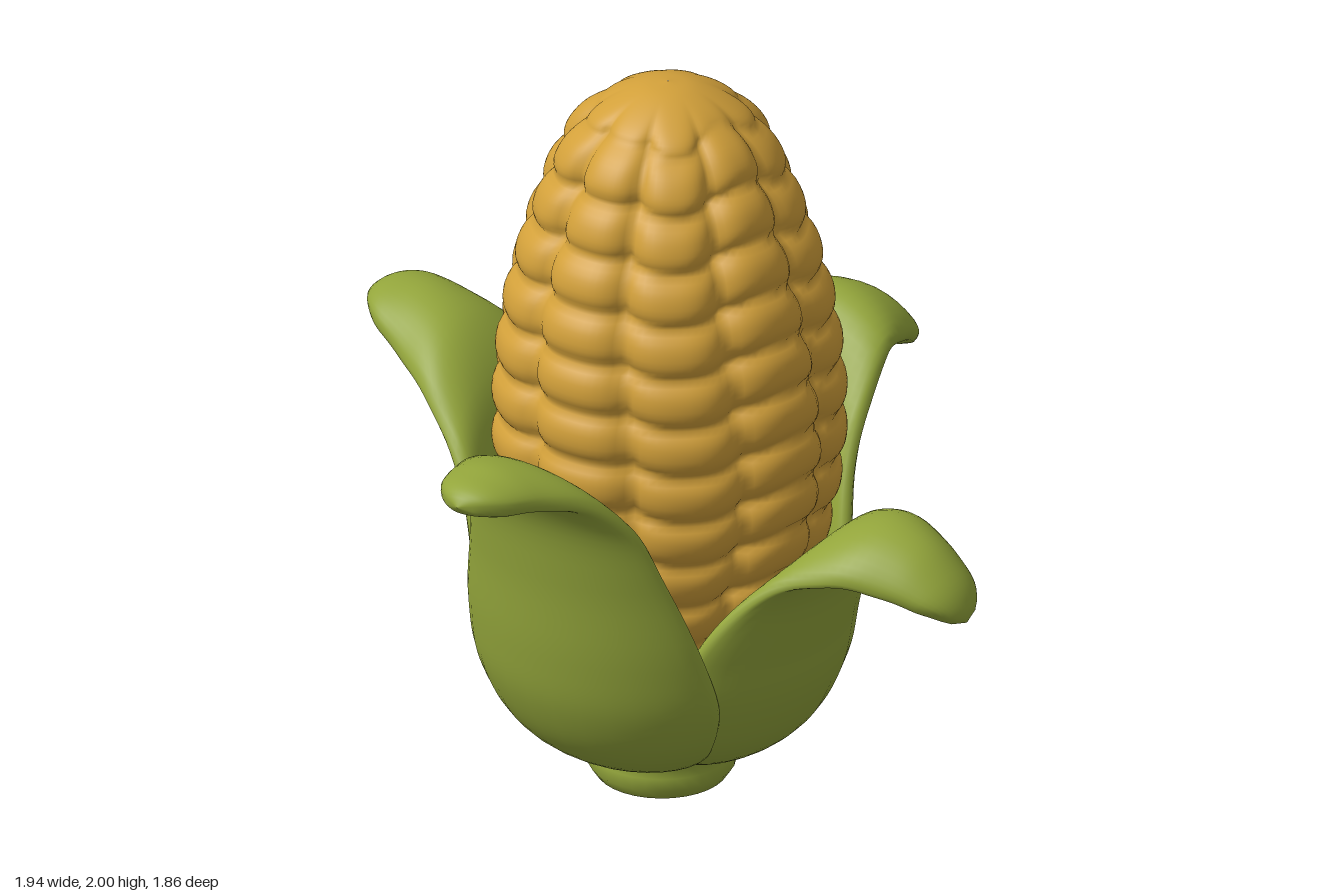
import * as THREE from 'three';

const kernelYellow = new THREE.MeshStandardMaterial({ color: 0xd2a03a });
kernelYellow.name = 'kernel yellow';
const huskGreen = new THREE.MeshStandardMaterial({ color: 0x93a53b });
huskGreen.name = 'husk green';

// Smooth tube-like surface: rows of points, each row a closed loop.
function loft(rows, sides, pointAt) {
  const pos = [], index = [];
  for (let i = 0; i <= rows; i++)
    for (let j = 0; j < sides; j++) pos.push(...pointAt(i / rows, (j / sides) * Math.PI * 2));
  for (let i = 0; i < rows; i++)
    for (let j = 0; j < sides; j++) {
      const a = i * sides + j, b = i * sides + ((j + 1) % sides);
      index.push(a, b, b + sides, a, b + sides, a + sides);
    }
  const g = new THREE.BufferGeometry();
  g.setAttribute('position', new THREE.Float32BufferAttribute(pos, 3));
  g.setIndex(index);
  g.computeVertexNormals();
  return g;
}

function part(name, geometry, material) {
  const mesh = new THREE.Mesh(geometry, material);
  mesh.name = name;
  return mesh;
}

// Ear: a rounded profile dented by grooves between rows and columns of kernels.
function earGeometry() {
  const profile = new THREE.CatmullRomCurve3([
    [0.22, 0.25], [0.33, 0.45], [0.41, 0.68], [0.455, 0.9], [0.465, 1.1], [0.44, 1.36], [0.395, 1.55],
    [0.35, 1.68], [0.3, 1.8], [0.24, 1.89], [0.16, 1.95], [0.07, 1.99], [0.001, 2.0],
  ].map(([r, y]) => new THREE.Vector3(r, y, 0)));
  const columns = 9, rowHeight = 0.136;
  return loft(130, 126, (t, a) => {
    const p = profile.getPointAt(t);
    const c = (a / (Math.PI * 2)) * columns + 0.5 + 0.07 * Math.sin(p.y * 5);
    const column = ((Math.floor(c) % columns) + columns) % columns;
    const u = 2 * (c - Math.floor(c)) - 1;
    const k = p.y / rowHeight + 0.22 * Math.sin(column * 2.4) * (1 - u * u);
    const v = 2 * (k - Math.floor(k)) - 1;
    const fade = THREE.MathUtils.smoothstep(p.x, 0.08, 0.34);
    const r = p.x - fade * (0.042 * Math.abs(u) ** 3 + 0.03 * Math.abs(v) ** 2.5);
    return [r * Math.sin(a), p.y, r * Math.cos(a)];
  });
}

// Husk leaf facing +z: wraps the bowl, then narrows and curls outward.
// Each section is [distance out, height, half width]; droop lowers the edges at the crest.
function leafGeometry(sections, skew, droop) {
  const { smoothstep } = THREE.MathUtils;
  const swell = sections[0][0] / 0.465;
  const bowl = [[0.08, 0.14], [0.23, 0.165], [0.365, 0.26], [0.435, 0.4]]
    .map(([r, y]) => [r * swell, y, r * swell * 0.9]);
  const curve = new THREE.CatmullRomCurve3([...bowl, ...sections].map((s) => new THREE.Vector3(...s)));
  return loft(60, 36, (t, a) => {
    const p = curve.getPoint(t), d = curve.getTangent(t);
    const len = Math.hypot(d.x, d.y);
    const cap = t > 0.88 ? Math.sqrt(Math.max(0, 1 - ((t - 0.88) / 0.12) ** 2)) : 1;
    const s = -Math.cos(a);
    const side = Math.sin(a);
    const off = Math.sign(side) * Math.abs(side) ** 0.7 * 0.045 * cap;
    const phi = (s * p.z * cap) / p.x;
    const r = p.x + (off * d.y) / len;
    const sag = droop * s * s * smoothstep(t, 0.45, 0.68) * (1 - smoothstep(t, 0.76, 1));
    const y = p.y - (off * d.x) / len - sag;
    return [r * Math.sin(phi) + skew * smoothstep(t, 0.5, 0.9), y, r * Math.cos(phi)];
  });
}

export function createModel() {
  const model = new THREE.Group();
  model.name = 'corn cob';
  model.add(part('ear', earGeometry(), kernelYellow));

  // Four husk leaves with their own heights and curls
  const leaves = [
    ['frontLeaf', 0, -0.015, 0.04, [[0.505, 0.56, 0.405], [0.53, 0.8, 0.325], [0.57, 1.0, 0.265],
      [0.65, 1.115, 0.21], [0.76, 1.155, 0.15], [0.85, 1.15, 0.11], [0.925, 1.145, 0.075]]],
    ['leftLeaf', Math.PI / 2, -0.03, 0.07, [[0.465, 0.55, 0.385], [0.51, 0.72, 0.3], [0.59, 0.845, 0.245],
      [0.7, 0.895, 0.2], [0.81, 0.875, 0.15], [0.9, 0.805, 0.11], [0.965, 0.725, 0.08]]],
    ['backLeaf', Math.PI, -0.06, 0.055, [[0.455, 0.56, 0.385], [0.49, 0.78, 0.325], [0.555, 0.96, 0.285],
      [0.66, 1.09, 0.235], [0.77, 1.06, 0.18], [0.86, 0.97, 0.13], [0.925, 0.88, 0.08]]],
    ['rightLeaf', -Math.PI / 2, -0.06, 0.075, [[0.465, 0.56, 0.385], [0.505, 0.78, 0.31], [0.57, 0.95, 0.26],
      [0.67, 1.06, 0.22], [0.78, 1.1, 0.175], [0.88, 1.1, 0.14], [0.968, 1.085, 0.1]]],
  ];
  for (const [name, turn, skew, droop, sections] of leaves) {
    const leaf = part(name, leafGeometry(sections, skew, droop), huskGreen);
    leaf.rotation.y = turn;
    model.add(leaf);
  }

  // Stub of the stalk
  const profile = [[0, 0], [0.14, 0.002], [0.172, 0.015], [0.192, 0.045], [0.192, 0.08], [0.182, 0.105], [0.2, 0.14], [0, 0.16]];
  const stalk = part('stalk', new THREE.LatheGeometry(profile.map(([x, y]) => new THREE.Vector2(x, y)), 32), huskGreen);
  stalk.position.z = 0.027;
  model.add(stalk);
  return model;
}
